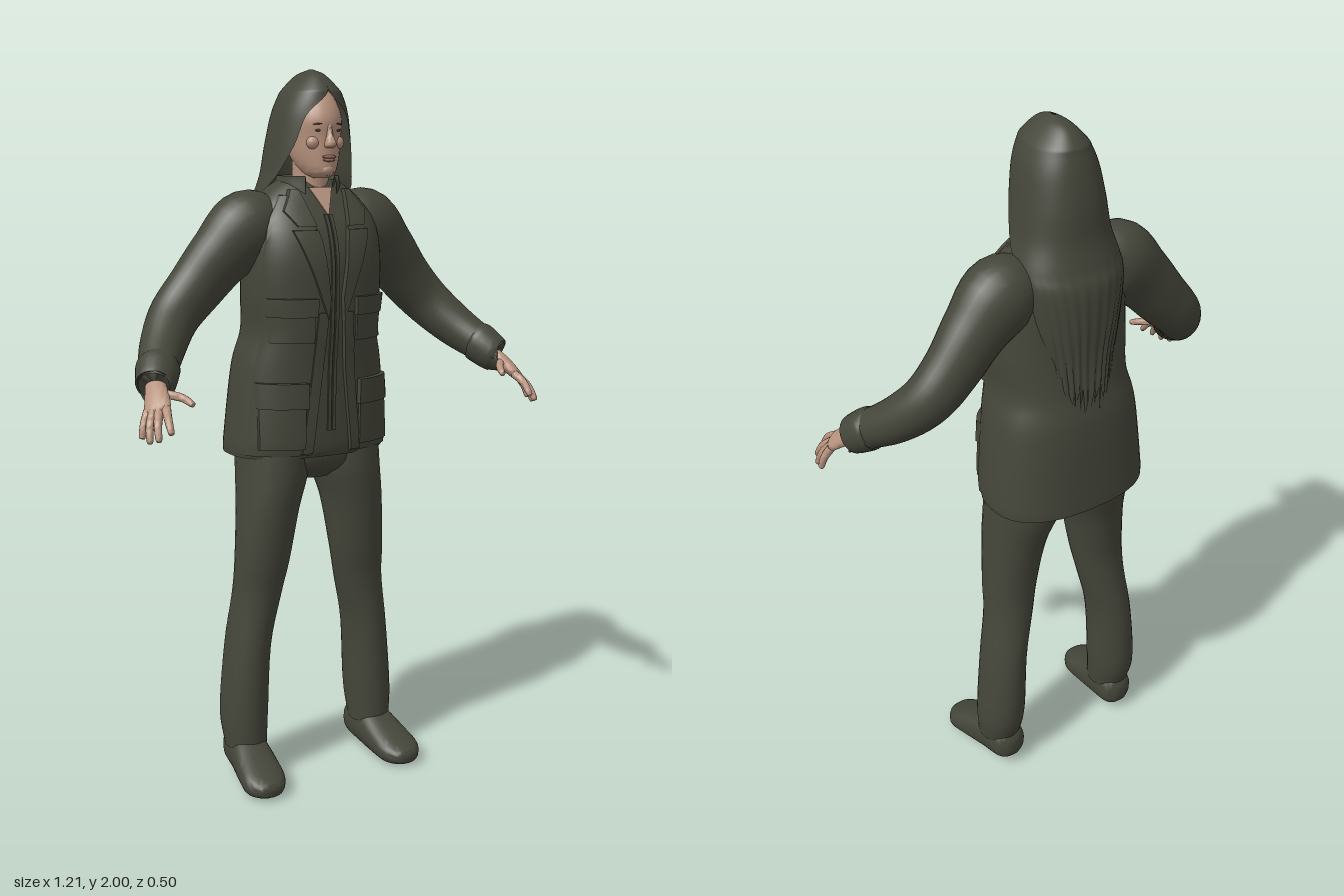
import * as THREE from 'three';
import { toCreasedNormals } from 'three/addons/utils/BufferGeometryUtils.js';

const mat = (name, color, side = THREE.FrontSide) => {
  const m = new THREE.MeshStandardMaterial({ color, side });
  m.name = name;
  return m;
};
const V = (x, y, z) => new THREE.Vector3(x, y, z);
const UP = V(0, 1, 0), FRONT = V(0, 0, 1);
const signedPow = (v, e) => Math.sign(v) * Math.abs(v) ** e;

// Smoothly resample rows of [x, y, z, halfWidth, halfDepth]
function resample(rows, n) {
  const pos = new THREE.CatmullRomCurve3(rows.map(r => V(r[0], r[1], r[2])), false, 'catmullrom');
  const rad = new THREE.CatmullRomCurve3(rows.map(r => V(r[3], r[4], 0)), false, 'catmullrom');
  return Array.from({ length: n + 1 }, (_, i) => ({
    p: pos.getPoint(i / n), t: pos.getTangent(i / n), r: rad.getPoint(i / n),
  }));
}

// Closed loft of super-ellipse rings; the rings follow the path unless an axis is given
function loft(rows, { ref = FRONT, axis, e = 1, n = rows.length * 4, seg = 28 } = {}) {
  const pts = [], idx = [], rings = resample(rows, n);
  for (const { p, t, r } of rings) {
    const dir = axis || t;
    const side = dir.clone().cross(ref).normalize(), fwd = side.clone().cross(dir);
    for (let j = 0; j < seg; j++) {
      const a = j / seg * Math.PI * 2;
      const q = p.clone().addScaledVector(side, r.x * signedPow(Math.cos(a), e))
        .addScaledVector(fwd, r.y * signedPow(Math.sin(a), e));
      pts.push(q.x, q.y, q.z);
    }
  }
  const first = rings[0].p, last = rings[n].p, c0 = (n + 1) * seg;
  pts.push(first.x, first.y, first.z, last.x, last.y, last.z);
  for (let j = 0; j < seg; j++) {
    const k = (j + 1) % seg;
    for (let i = 0; i < n; i++) {
      const a = i * seg + j, b = i * seg + k;
      idx.push(a, a + seg, b, b, a + seg, b + seg);
    }
    idx.push(c0, j, k, c0 + 1, n * seg + k, n * seg + j);
  }
  const g = new THREE.BufferGeometry();
  g.setAttribute('position', new THREE.Float32BufferAttribute(pts, 3));
  g.setIndex(idx);
  return toCreasedNormals(g, 1);
}

const E = 0.82;
const torsoRows = [
  [0, 0.955, -0.09, 0.235, 0.155], [0, 1.0, -0.085, 0.235, 0.158], [0, 1.2, -0.075, 0.213, 0.155],
  [0, 1.3, -0.06, 0.19, 0.15], [0, 1.4, -0.05, 0.195, 0.145], [0, 1.5, -0.045, 0.195, 0.14],
  [0, 1.58, -0.05, 0.188, 0.125], [0, 1.64, -0.06, 0.165, 0.1], [0, 1.68, -0.065, 0.125, 0.08],
  [0, 1.71, -0.065, 0.08, 0.06]];
const torsoRings = resample(torsoRows, 80);

// Depth of the torso's front surface at (x, y)
function torsoFront(x, y) {
  let i = torsoRings.findIndex(r => r.p.y >= y);
  i = i < 0 ? 80 : Math.max(1, i);
  const A = torsoRings[i - 1], B = torsoRings[i];
  const f = THREE.MathUtils.clamp((y - A.p.y) / (B.p.y - A.p.y), 0, 1);
  const w = THREE.MathUtils.lerp(A.r.x, B.r.x, f), d = THREE.MathUtils.lerp(A.r.y, B.r.y, f);
  const c = Math.min(0.97, Math.abs(x) / w) ** (1 / E);
  return THREE.MathUtils.lerp(A.p.z, B.p.z, f) + d * Math.sqrt(1 - c * c) ** E;
}

// Piecewise-linear edge through [y, x] pairs
const edge = (...k) => y => {
  for (let i = 1; i < k.length; i++) {
    if (y <= k[i][0] || i === k.length - 1) {
      return THREE.MathUtils.mapLinear(y, k[i - 1][0], k[i][0], k[i - 1][1], k[i][1]);
    }
  }
};

// Cloth panel that hugs the torso front, raised by h
function panel(s, y0, y1, inner, outer, h) {
  const g = new THREE.BoxGeometry(1, y1 - y0, 1, 12, 24, 1), p = g.attributes.position;
  for (let i = 0; i < p.count; i++) {
    const y = p.getY(i) + (y0 + y1) / 2, u = p.getX(i) + 0.5;
    const x = s > 0 ? THREE.MathUtils.lerp(inner(y), outer(y), u) : -THREE.MathUtils.lerp(outer(y), inner(y), u);
    p.setXYZ(i, x, y, torsoFront(x, y) + (p.getZ(i) > 0 ? h : -0.01));
  }
  return toCreasedNormals(g, 0.7);
}

// Open draped shell: rows of [y, centre z, half width, depth, opening angle]
function drape(rows, n, seg) {
  const a = new THREE.CatmullRomCurve3(rows.map(r => V(r[0], r[1], r[2])), false, 'catmullrom');
  const b = new THREE.CatmullRomCurve3(rows.map(r => V(r[3], r[4], 0)), false, 'catmullrom');
  const g = new THREE.PlaneGeometry(1, 1, seg, n), p = g.attributes.position;
  for (let i = 0; i <= n; i++) {
    const s = a.getPoint(i / n), o = b.getPoint(i / n), open = Math.max(0, o.y);
    const low = Math.max(0, i / n - 0.6) / 0.4;
    for (let j = 0; j <= seg; j++) {
      const th = open + (j / seg) * 2 * (Math.PI - open);
      const wave = low * 0.004 * Math.sin(j * 1.6), ragged = low ** 4 * 0.05 * Math.sin(j * 2.1);
      p.setXYZ(i * (seg + 1) + j, s.z * signedPow(Math.sin(th), 0.9), s.x + ragged,
        s.y + (o.x + wave) * signedPow(Math.cos(th), 0.85));
    }
  }
  g.computeVertexNormals();
  return g;
}

export function createModel() {
  const model = new THREE.Group();
  const cloth = mat('dark olive cloth', 0x45463a, THREE.DoubleSide);
  const skin = mat('skin', 0xb8937e);
  const lip = mat('lips', 0x96695c);
  const dark = mat('dark eye', 0x4a3a32);
  const add = (name, geo, m = cloth) => {
    const mesh = new THREE.Mesh(geo, m);
    mesh.name = name;
    model.add(mesh);
    return mesh;
  };
  const blob = (name, m, x, y, z, sx, sy, sz) => {
    const b = add(name, new THREE.SphereGeometry(1, 16, 10), m);
    b.position.set(x, y, z);
    b.scale.set(sx, sy, sz);
    return b;
  };

  // Jacket body and trouser seat
  add('jacketBody', loft(torsoRows, { axis: UP, e: E, n: 60, seg: 48 }));
  add('trouserSeat', loft([[0, 0.88, -0.07, 0.08, 0.07], [0, 0.93, -0.07, 0.195, 0.12],
    [0, 1.03, -0.08, 0.21, 0.135]], { axis: UP }));

  // Head, neck and face
  add('neck', loft([[0, 1.6, -0.05, 0.06, 0.06], [0, 1.7, -0.045, 0.05, 0.055], [0, 1.78, -0.04, 0.05, 0.055]], { axis: UP }), skin);
  add('head', loft([[0, 1.715, 0.015, 0.02, 0.025], [0, 1.73, 0.002, 0.042, 0.058], [0, 1.77, -0.02, 0.061, 0.083],
    [0, 1.82, -0.03, 0.07, 0.093], [0, 1.87, -0.03, 0.073, 0.097], [0, 1.92, -0.04, 0.06, 0.085],
    [0, 1.96, -0.045, 0.03, 0.05]], { axis: UP }), skin);
  add('nose', loft([[0, 1.794, 0.06, 0.011, 0.01], [0, 1.803, 0.068, 0.015, 0.021], [0, 1.83, 0.064, 0.008, 0.013],
    [0, 1.858, 0.06, 0.007, 0.007]], { axis: UP, seg: 16 }), skin);
  blob('upperLip', lip, 0, 1.771, 0.062, 0.021, 0.005, 0.009);
  blob('lowerLip', lip, 0, 1.763, 0.061, 0.018, 0.005, 0.009);
  blob('chin', skin, 0, 1.737, 0.05, 0.02, 0.016, 0.015);

  // Hood-like long hair falling down the back
  add('longHair', drape([[2.0, -0.04, 0.003, 0.01, 0], [1.985, -0.045, 0.03, 0.06, 0], [1.95, -0.045, 0.064, 0.098, 0],
    [1.93, -0.045, 0.078, 0.106, 0.1], [1.88, -0.05, 0.097, 0.116, 0.62], [1.8, -0.06, 0.112, 0.122, 0.85],
    [1.72, -0.07, 0.125, 0.12, 1.2], [1.65, -0.08, 0.147, 0.128, 1.7], [1.6, -0.09, 0.152, 0.134, 1.9],
    [1.5, -0.09, 0.142, 0.136, 2.05], [1.4, -0.09, 0.125, 0.13, 2.15], [1.28, -0.085, 0.115, 0.135, 2.25]], 60, 48));

  // Standing collar, open at the throat
  const collarProfile = [[0.092, 1.65], [0.09, 1.7], [0.085, 1.72], [0.078, 1.7], [0.08, 1.65]].map(q => new THREE.Vector2(...q));
  const collar = add('collar', new THREE.LatheGeometry(collarProfile, 32, 0.55, Math.PI * 2 - 1.1));
  collar.position.z = -0.06;

  const openEdge = edge([0.96, 0.062], [1.2, 0.035], [1.4, 0.02], [1.55, 0.04], [1.68, 0.07]);
  const sideEdge = edge([0.96, 0.222], [1.2, 0.2], [1.3, 0.178], [1.5, 0.183], [1.6, 0.165], [1.68, 0.11]);
  const at = x => () => x;

  for (const s of [1, -1]) {
    const L = s > 0 ? 'left' : 'right';
    const m = rows => rows.map(([x, ...r]) => [x * s, ...r]);

    // Open jacket front, placket, lapel and inner garment edge
    add(L + 'JacketFront', panel(s, 0.965, 1.67, openEdge, sideEdge, 0.009));
    add(L + 'Placket', panel(s, 0.97, 1.36, openEdge, y => openEdge(y) + 0.03, 0.014));
    add(L + 'LowerLapel', panel(s, 1.34, 1.58, openEdge, edge([1.34, 0.025], [1.45, 0.065], [1.58, 0.115]), 0.017));
    add(L + 'UpperLapel', panel(s, 1.59, 1.685, openEdge, edge([1.59, 0.1], [1.63, 0.125], [1.685, 0.09]), 0.019));
    add(L + 'InnerZipEdge', panel(s, 1.03, 1.62, at(0.002), at(0.012), 0.005));
    add(L + 'Throat', panel(s, 1.62, 1.69, at(0), edge([1.62, 0.002], [1.69, 0.035]), 0.006), skin);

    // Patch pockets with flaps
    add(L + 'ChestPocket', panel(s, 1.28, 1.385, at(0.065), at(0.172), 0.018));
    add(L + 'ChestFlap', panel(s, 1.35, 1.4, at(0.06), at(0.178), 0.025));
    add(L + 'HipPocket', panel(s, 0.985, 1.14, at(0.085), at(0.2), 0.02));
    add(L + 'HipFlap', panel(s, 1.1, 1.17, at(0.08), at(0.203), 0.028));

    // Sleeve and cuff
    add(L + 'Sleeve', loft(m([[0.1, 1.6, -0.07, 0.07, 0.075], [0.18, 1.58, -0.07, 0.105, 0.095], [0.26, 1.51, -0.075, 0.088, 0.08],
      [0.33, 1.43, -0.08, 0.078, 0.069], [0.4, 1.355, -0.07, 0.07, 0.066], [0.46, 1.285, -0.01, 0.062, 0.06],
      [0.51, 1.23, 0.07, 0.051, 0.05], [0.528, 1.21, 0.1, 0.046, 0.046]])));
    add(L + 'Cuff', loft(m([[0.498, 1.243, 0.05, 0.052, 0.052], [0.504, 1.237, 0.06, 0.058, 0.058],
      [0.528, 1.207, 0.1, 0.052, 0.052], [0.532, 1.203, 0.106, 0.044, 0.044]])));

    // Hand with spread fingers
    add(L + 'Palm', loft(m([[0.525, 1.21, 0.09, 0.026, 0.022], [0.54, 1.185, 0.135, 0.032, 0.019],
      [0.553, 1.158, 0.172, 0.036, 0.015], [0.557, 1.15, 0.182, 0.028, 0.009]]), { ref: V(0.515 * s, 0.69, 0.27).normalize() }), skin);
    const fingers = [
      ['Thumb', [0.528, 1.19, 0.135], [0.492, 1.183, 0.18], [0.477, 1.17, 0.215]],
      ['IndexFinger', [0.537, 1.16, 0.19], [0.546, 1.14, 0.222], [0.549, 1.11, 0.248]],
      ['MiddleFinger', [0.553, 1.153, 0.182], [0.57, 1.125, 0.213], [0.577, 1.092, 0.235]],
      ['RingFinger', [0.565, 1.15, 0.17], [0.583, 1.118, 0.192], [0.59, 1.084, 0.208]],
      ['LittleFinger', [0.572, 1.152, 0.155], [0.589, 1.12, 0.168], [0.597, 1.09, 0.175]]];
    for (const [name, a, b, c] of fingers) {
      const tip = c.map((v, i) => v + (c[i] - b[i]) * 0.12);
      add(L + name, loft(m([[...a, 0.012, 0.012], [...b, 0.0105, 0.0105], [...c, 0.008, 0.008], [...tip, 0.003, 0.003]]), { seg: 12 }), skin);
    }

    // Trouser leg and shoe
    add(L + 'TrouserLeg', loft(m([[0.208, 0.095, -0.06, 0.06, 0.066], [0.207, 0.2, -0.072, 0.068, 0.08], [0.193, 0.4, -0.07, 0.064, 0.08],
      [0.167, 0.55, -0.06, 0.071, 0.074], [0.154, 0.65, -0.05, 0.079, 0.08], [0.136, 0.8, -0.05, 0.088, 0.1],
      [0.118, 0.9, -0.06, 0.099, 0.12], [0.112, 1.0, -0.07, 0.1, 0.13]]), { axis: UP }));
    add(L + 'Shoe', loft(m([[0.205, 0.07, -0.138, 0.025, 0.03], [0.205, 0.075, -0.115, 0.05, 0.053], [0.21, 0.07, -0.04, 0.056, 0.062],
      [0.218, 0.05, 0.04, 0.063, 0.047], [0.224, 0.035, 0.1, 0.062, 0.034], [0.224, 0.03, 0.14, 0.035, 0.02],
      [0.224, 0.03, 0.148, 0.01, 0.006]]), { ref: UP, axis: FRONT, e: 0.8 }));

    // Eye, brow and cheek
    blob(L + 'Eye', dark, 0.029 * s, 1.84, 0.0555, 0.01, 0.0035, 0.0045);
    const brow = blob(L + 'Brow', dark, 0.03 * s, 1.857, 0.056, 0.016, 0.0022, 0.005);
    brow.rotation.set(0, 0.35 * s, -0.1 * s);
    blob(L + 'Cheek', skin, 0.036 * s, 1.808, 0.04, 0.02, 0.018, 0.016);
  }
  return model;
}
